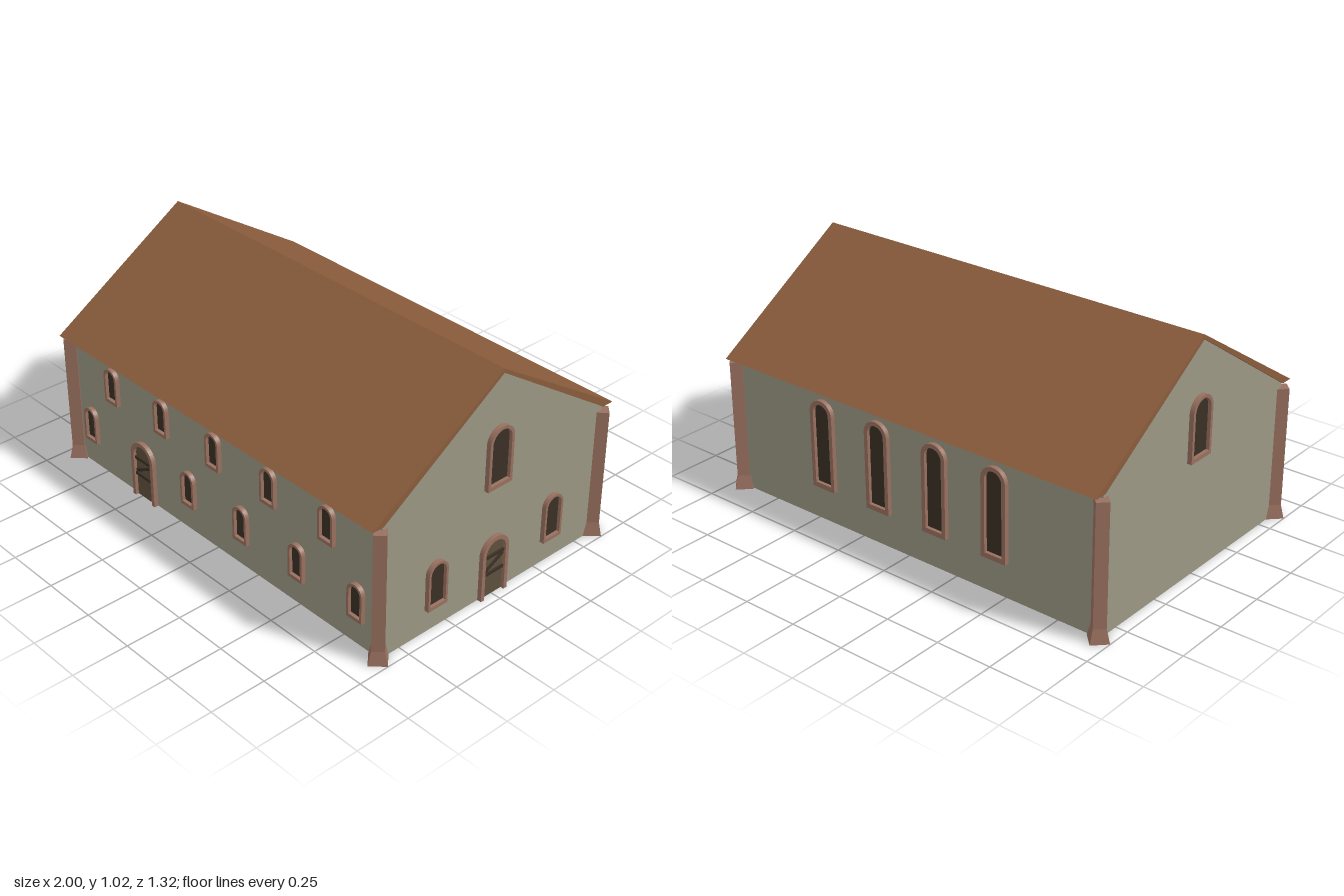
import * as THREE from 'three';

const mat = (name, color, extra = {}) => {
  const m = new THREE.MeshStandardMaterial({ color, ...extra });
  m.name = name;
  return m;
};

const HALF_X = 0.947, HALF_Z = 0.6, EAVE = 0.61, RIDGE = 1.007;

// Round-headed outline standing on y = y0
function arch(Type, w, y0, y1) {
  const r = w / 2, s = new Type();
  s.moveTo(-r, y0);
  s.lineTo(r, y0);
  s.lineTo(r, y1 - r);
  s.absarc(0, y1 - r, r, 0, Math.PI, false);
  s.lineTo(-r, y0);
  return s;
}

export function createModel() {
  const wallMat = mat('plaster', 0x9b9784, { side: THREE.DoubleSide });
  const roofMat = mat('roofTile', 0x8a5c3c);
  const trimMat = mat('trimStone', 0x98705f);
  const darkMat = mat('darkOpening', 0x3a3025);
  const doorMat = mat('doorWood', 0x5e503c);

  const model = new THREE.Group();
  model.name = 'hall';

  const add = (parent, name, geo, material, x = 0, y = 0, z = 0) => {
    const m = new THREE.Mesh(geo, material);
    m.name = name;
    m.position.set(x, y, z);
    parent.add(m);
    return m;
  };

  // Arched frame with a recessed panel; local +z points out of the wall
  function opening(parent, name, u, w, y0, y1, border, sill, panelMat) {
    const g = new THREE.Group();
    g.name = name;
    g.position.x = u;
    parent.add(g);
    const outer = arch(THREE.Shape, w, y0, y1);
    const iw = w - 2 * border, iy0 = y0 + sill, iy1 = y1 - border;
    if (sill > 0) {
      outer.holes.push(arch(THREE.Path, iw, iy0, iy1));
    } else {
      // Door frame: one outline running up outside and back down inside
      const r = w / 2, ir = iw / 2;
      outer.curves.length = 0;
      outer.moveTo(ir, y0);
      outer.lineTo(r, y0);
      outer.lineTo(r, y1 - r);
      outer.absarc(0, y1 - r, r, 0, Math.PI, false);
      outer.lineTo(-r, y0);
      outer.lineTo(-ir, y0);
      outer.lineTo(-ir, iy1 - ir);
      outer.absarc(0, iy1 - ir, ir, Math.PI, 0, true);
      outer.lineTo(ir, y0);
    }
    add(g, 'frame', new THREE.ExtrudeGeometry(outer, { depth: 0.02, bevelEnabled: false, curveSegments: 10 }), trimMat);
    add(g, 'panel', new THREE.ShapeGeometry(arch(THREE.Shape, iw, iy0, iy1), 10), panelMat, 0, 0, 0.005);
    return g;
  }

  const windowAt = (f, u, w, y0, y1, border, sill) =>
    opening(f, 'window', u, w, y0, y1, border, sill, darkMat);

  // Door with two cross rails and a diagonal brace
  function doorAt(f, u) {
    const g = opening(f, 'door', u, 0.146, 0, 0.28, 0.018, 0, doorMat);
    for (const y of [0.11, 0.19]) add(g, 'rail', new THREE.BoxGeometry(0.108, 0.013, 0.008), darkMat, 0, y, 0.009);
    const brace = add(g, 'brace', new THREE.BoxGeometry(0.117, 0.013, 0.006), darkMat, 0, 0.15, 0.008);
    brace.rotation.z = 0.48;
  }

  // Each facade is a group turned so its local +z faces outward
  function facade(name, angle, dist, points) {
    const f = new THREE.Group();
    f.name = name;
    f.rotation.y = angle;
    f.position.set(Math.sin(angle) * dist, 0, Math.cos(angle) * dist);
    const s = new THREE.Shape(points.map(([x, y]) => new THREE.Vector2(x, y)));
    add(f, 'wall', new THREE.ShapeGeometry(s), wallMat);
    model.add(f);
    return f;
  }

  const long = [[-HALF_X, 0], [HALF_X, 0], [HALF_X, EAVE], [-HALF_X, EAVE]];
  const gable = [[-HALF_Z, 0], [HALF_Z, 0], [HALF_Z, EAVE], [0, RIDGE], [-HALF_Z, EAVE]];
  const front = facade('frontFacade', 0, HALF_Z, long);
  const back = facade('backFacade', Math.PI, HALF_Z, long);
  const left = facade('leftGable', Math.PI / 2, HALF_X, gable);
  const right = facade('rightGable', -Math.PI / 2, HALF_X, gable);

  // Front: two staggered rows of small windows and a door
  for (const u of [-0.663, -0.332, 0, 0.332, 0.663]) windowAt(front, u, 0.082, 0.39, 0.555, 0.011, 0.015);
  for (const u of [-0.834, -0.171, 0.16, 0.492, 0.824]) windowAt(front, u, 0.082, 0.123, 0.288, 0.011, 0.015);
  doorAt(front, -0.472);

  // Back: four tall windows
  for (const u of [-0.45, -0.15, 0.15, 0.45]) windowAt(back, u, 0.12, 0.155, 0.555, 0.018, 0.022);

  // Gables: a high window on each, with a door and low windows on the left
  for (const f of [left, right]) windowAt(f, 0, 0.132, 0.512, 0.782, 0.014, 0.018);
  for (const u of [-0.316, 0.333]) windowAt(left, u, 0.103, 0.105, 0.318, 0.011, 0.015);
  doorAt(left, 0);

  // Roof: thin chevron section extruded along x
  const section = new THREE.Shape([
    [-0.656, EAVE], [-0.6, EAVE], [0, RIDGE], [0.6, EAVE], [0.656, EAVE], [0, 1.025],
  ].map(([x, y]) => new THREE.Vector2(x, y)));
  const roofGeo = new THREE.ExtrudeGeometry(section, { depth: 1.91, bevelEnabled: false });
  roofGeo.translate(0, 0, -0.955);
  roofGeo.rotateY(Math.PI / 2);
  add(model, 'roof', roofGeo, roofMat);

  // Corner posts: diamond shafts on flared feet
  const postMat = trimMat.clone();
  postMat.flatShading = true;
  for (const sx of [-1, 1]) for (const sz of [-1, 1]) {
    const post = new THREE.Group();
    post.name = 'cornerPost';
    post.position.set(sx * 0.946, 0, sz * 0.608);
    add(post, 'shaft', new THREE.CylinderGeometry(0.037, 0.037, 0.53, 4).toNonIndexed(), postMat, 0, 0.325, 0);
    add(post, 'foot', new THREE.CylinderGeometry(0.037, 0.054, 0.06, 4).toNonIndexed(), postMat, 0, 0.03, 0);
    model.add(post);
  }
  return model;
}
